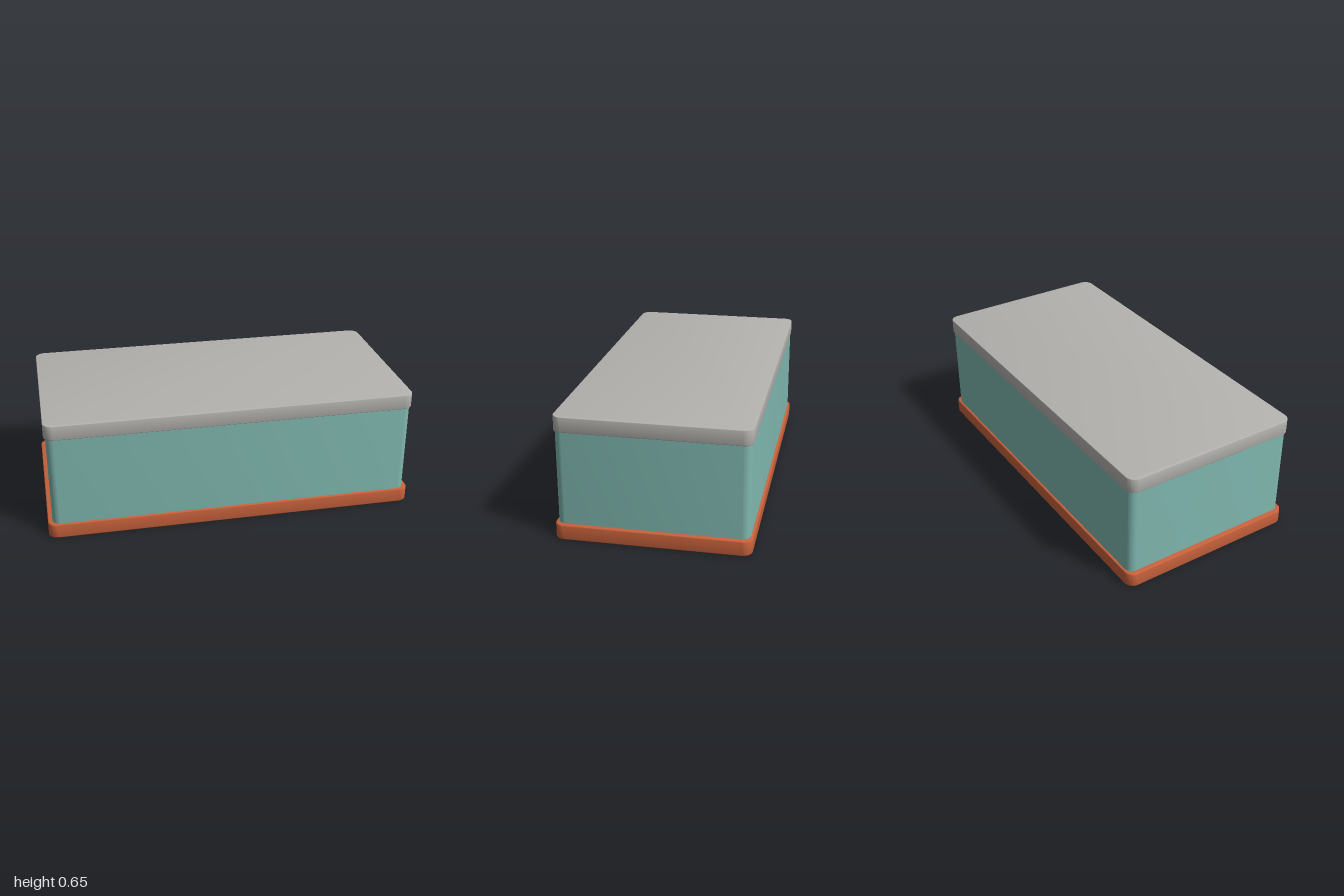
import * as THREE from 'three';
import { toCreasedNormals } from 'three/addons/utils/BufferGeometryUtils.js';

// Upright slab with rounded corners and softly rounded top and bottom rims
function roundedSlab(hx, hz, y0, y1, radius, bevel) {
  const x = hx - bevel, z = hz - bevel, r = radius - bevel;
  const s = new THREE.Shape();
  s.absarc(x - r, z - r, r, 0, Math.PI / 2);
  s.absarc(-x + r, z - r, r, Math.PI / 2, Math.PI);
  s.absarc(-x + r, -z + r, r, Math.PI, Math.PI * 1.5);
  s.absarc(x - r, -z + r, r, Math.PI * 1.5, Math.PI * 2);
  s.closePath();
  const geo = new THREE.ExtrudeGeometry(s, {
    depth: y1 - y0 - 2 * bevel,
    bevelEnabled: bevel > 0,
    bevelSize: bevel,
    bevelThickness: bevel,
    bevelSegments: 3,
    curveSegments: 8,
  });
  geo.rotateX(-Math.PI / 2);
  geo.translate(0, y0 + bevel, 0);
  return toCreasedNormals(geo, 0.7);
}

export function createModel() {
  const orange = new THREE.MeshStandardMaterial({ color: 0xc8623c });
  orange.name = 'terracotta';
  const teal = new THREE.MeshStandardMaterial({ color: 0x80b8b0 });
  teal.name = 'teal';
  const grey = new THREE.MeshStandardMaterial({ color: 0xb4b2ae });
  grey.name = 'warmGrey';

  const group = new THREE.Group();
  group.name = 'box';
  const add = (name, geo, mat) => {
    const mesh = new THREE.Mesh(geo, mat);
    mesh.name = name;
    group.add(mesh);
  };

  // Base plinth, body and overhanging lid
  add('base', roundedSlab(1, 0.5, 0, 0.08, 0.05, 0.006), orange);
  add('body', roundedSlab(0.976, 0.488, 0.07, 0.585, 0.045, 0), teal);
  add('lid', roundedSlab(0.986, 0.493, 0.574, 0.654, 0.05, 0.003), grey);
  return group;
}
